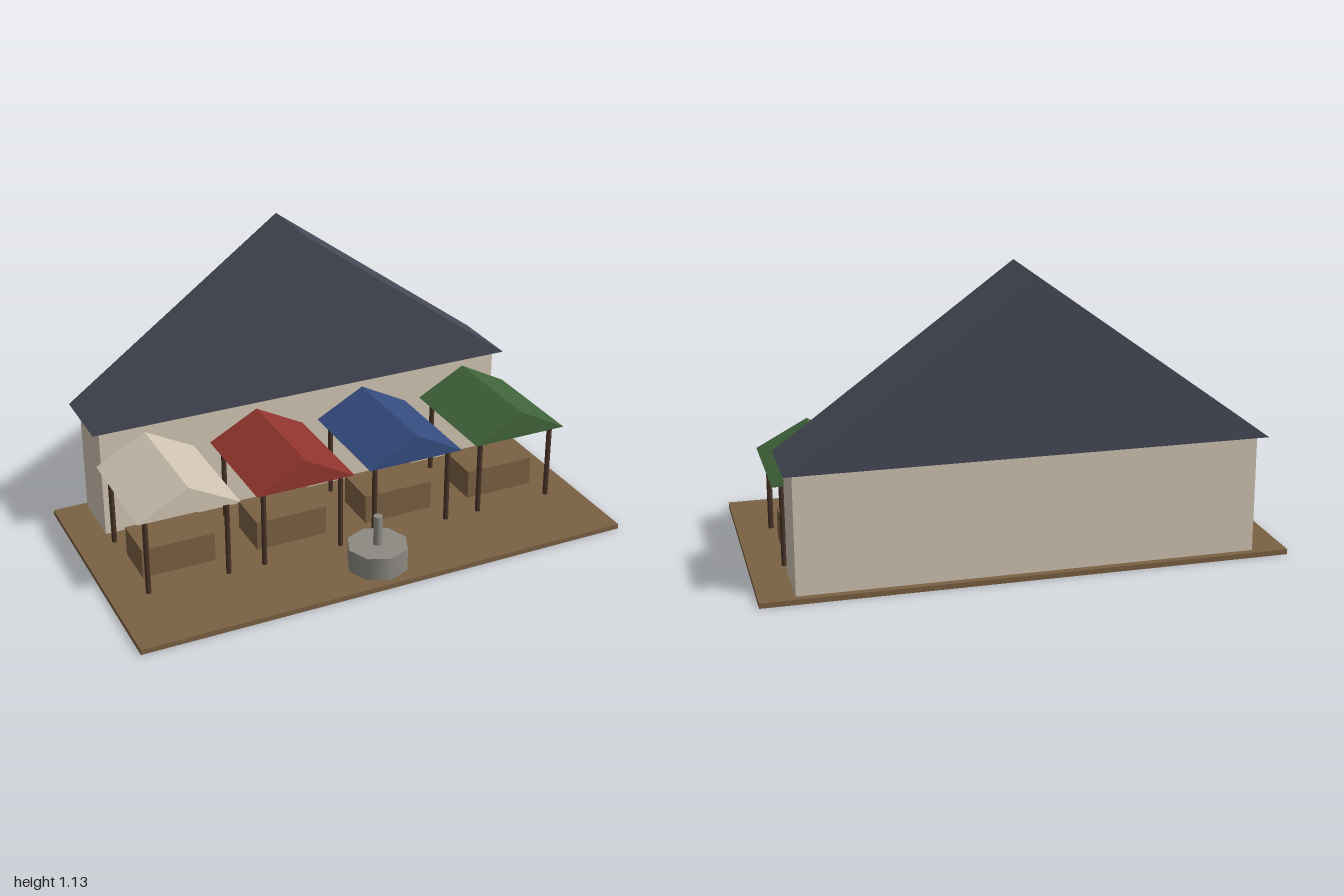
import * as THREE from 'three';

const mat = (name, color) => {
  const m = new THREE.MeshStandardMaterial({ color });
  m.name = name;
  return m;
};

export function createModel() {
  const plaster = mat('plaster', 0xd2c6b5);
  const slate = mat('slate', 0x474a57);
  const earth = mat('brown wood', 0x7b6143);
  const post = mat('dark wood', 0x4a3529);
  const red = mat('red cloth', 0x93352e);
  const blue = mat('blue cloth', 0x354d80);
  const green = mat('green cloth', 0x41653b);
  const stone = mat('stone', 0x8d8a83);

  const model = new THREE.Group();
  model.name = 'marketSquare';

  const add = (parent, name, geometry, material, x, y, z) => {
    const mesh = new THREE.Mesh(geometry, material);
    mesh.name = name;
    mesh.position.set(x, y, z);
    parent.add(mesh);
    return mesh;
  };

  // Solid gable: triangle across x, extruded along z and centred
  const gable = (halfWidth, height, depth) => {
    const s = new THREE.Shape();
    s.moveTo(-halfWidth, 0);
    s.lineTo(halfWidth, 0);
    s.lineTo(0, height);
    s.closePath();
    return new THREE.ExtrudeGeometry(s, { depth, bevelEnabled: false }).translate(0, 0, -depth / 2);
  };

  const groundTop = 0.02;
  const midZ = 0.003;

  // Ground slab
  add(model, 'ground', new THREE.BoxGeometry(2, 0.02, 1.067), earth, 0, 0.01, midZ);

  // Hall with steep roof
  const hall = new THREE.Group();
  hall.name = 'hall';
  model.add(hall);
  add(hall, 'hallWalls', new THREE.BoxGeometry(1.734, 0.457, 0.24), plaster, 0, groundTop + 0.2285, -0.383);
  add(hall, 'hallRoof', gable(0.9, 0.657, 0.306), slate, 0, 0.476, -0.383);

  // Market stalls
  const postGeo = new THREE.CylinderGeometry(0.0107, 0.0107, 0.32, 8);
  const counterGeo = new THREE.BoxGeometry(0.293, 0.12, 0.187);
  const canopyGeo = gable(0.2, 0.107, 0.48);
  [plaster, red, blue, green].forEach((cloth, i) => {
    const stall = new THREE.Group();
    stall.name = 'stall' + (i + 1);
    stall.position.set(-0.693 + i * 0.4667, 0, midZ);
    model.add(stall);
    add(stall, 'counter', counterGeo, earth, 0, groundTop + 0.06, 0.003);
    add(stall, 'canopy', canopyGeo, cloth, 0, 0.34, 0);
    for (const sx of [-1, 1])
      for (const sz of [-1, 1])
        add(stall, 'post', postGeo, post, sx * 0.16, groundTop + 0.16, sz * 0.2);
  });

  // Fountain
  const fountain = new THREE.Group();
  fountain.name = 'fountain';
  fountain.position.set(0, groundTop, 0.391);
  model.add(fountain);
  add(fountain, 'basin', new THREE.CylinderGeometry(0.12, 0.12, 0.093, 8), stone, 0, 0.0465, 0);
  add(fountain, 'column', new THREE.CylinderGeometry(0.018, 0.018, 0.194, 8), stone, 0, 0.117, 0);

  return model;
}
